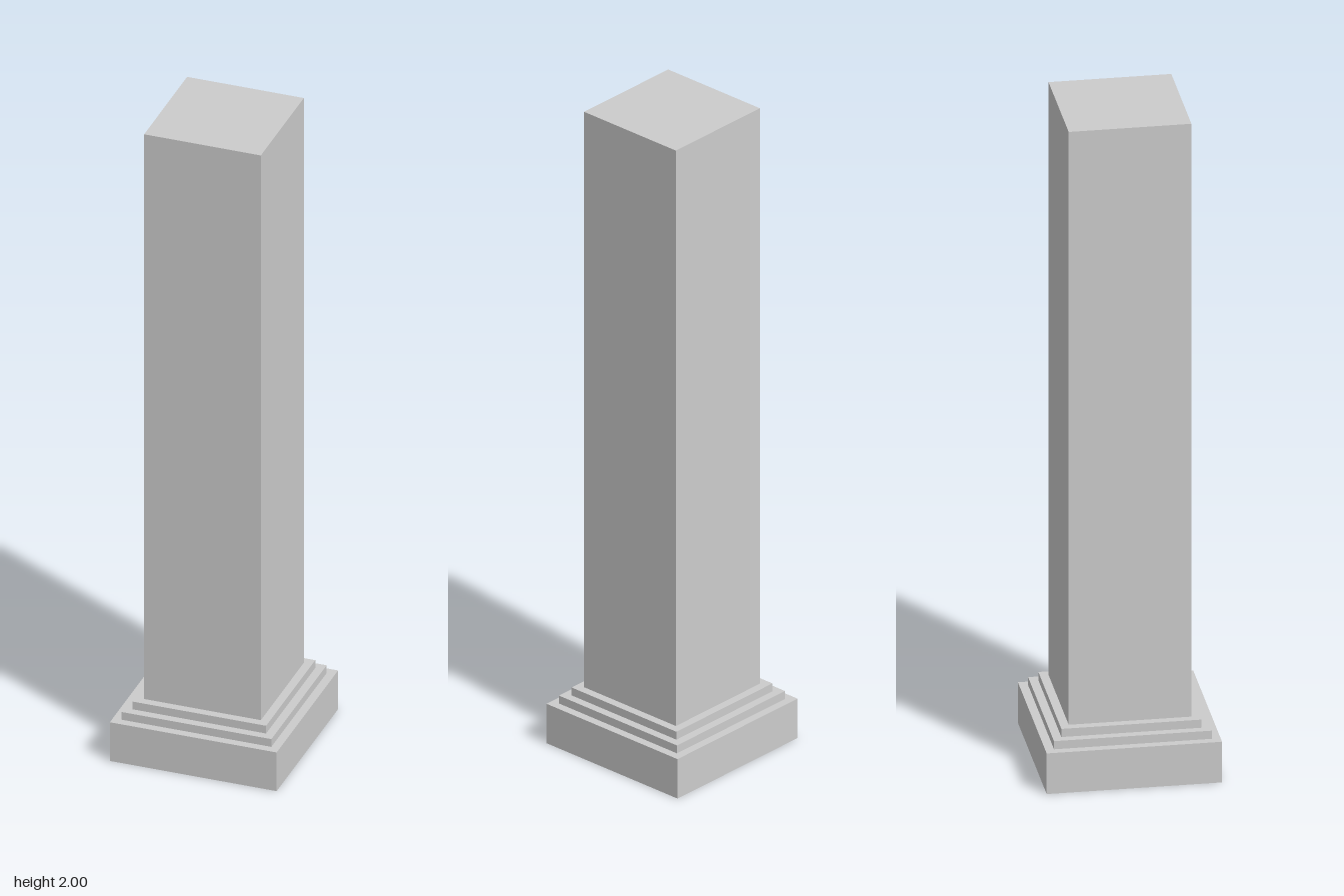
import * as THREE from 'three';

export function createModel() {
  const column = new THREE.Group();
  column.name = 'squareColumn';
  const material = new THREE.MeshStandardMaterial({ color: 0xcccccc, flatShading: true });

  // Square tiers stacked from the ground up: name, width, bottom, top
  const tiers = [
    ['plinth', 0.5, 0, 0.125],
    ['lowerStep', 0.45, 0.125, 0.15],
    ['upperStep', 0.4, 0.15, 0.175],
    ['shaft', 0.35, 0.175, 2],
  ];
  for (const [name, width, bottom, top] of tiers) {
    const tier = new THREE.Mesh(new THREE.BoxGeometry(width, top - bottom, width), material);
    tier.name = name;
    tier.position.y = (bottom + top) / 2;
    column.add(tier);
  }
  return column;
}
